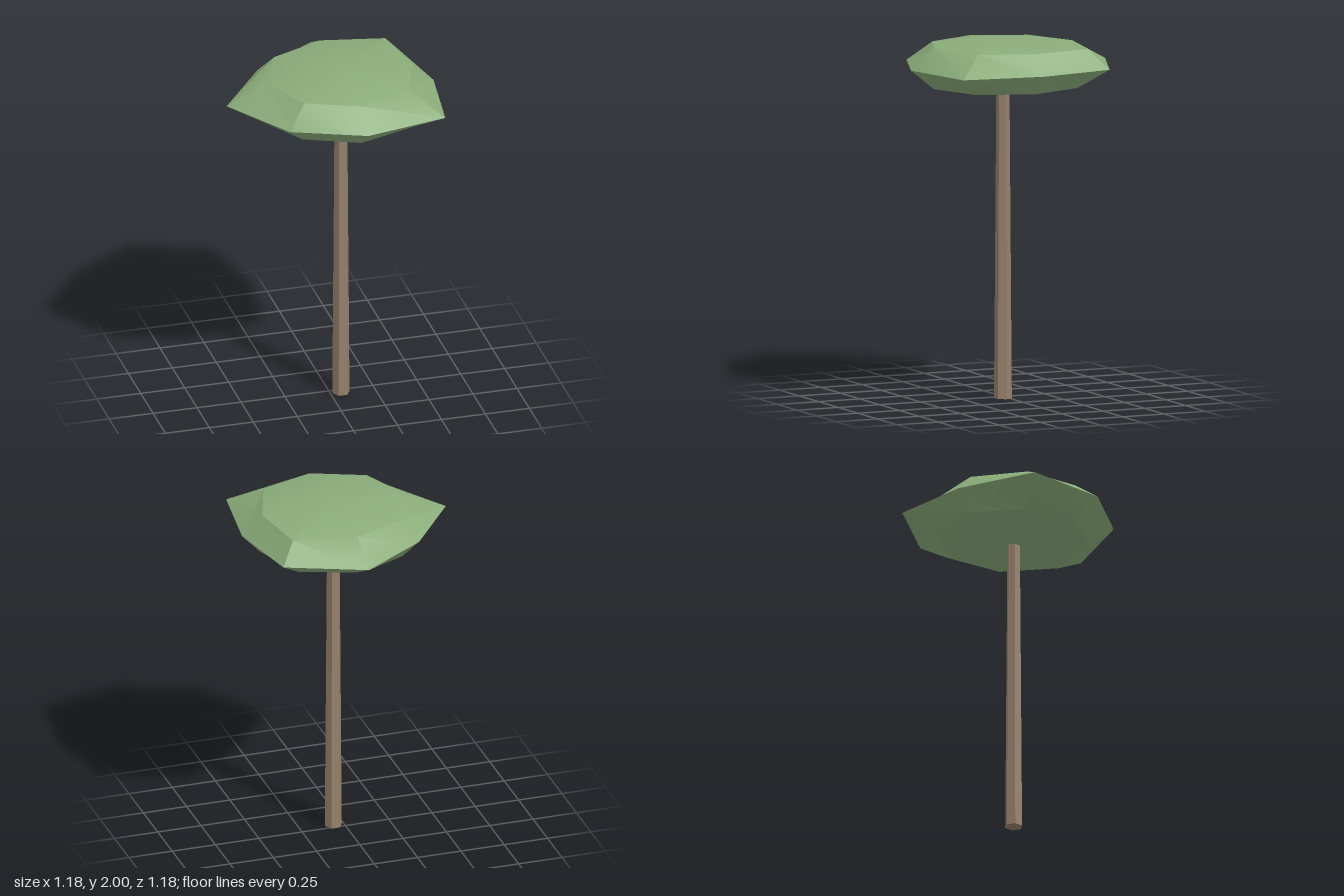
import * as THREE from 'three';
import { toCreasedNormals } from 'three/addons/utils/BufferGeometryUtils.js';

const CENTRE = [0.06, 0.03];

// Crown outlines (x, z), starting at -x and turning through +z
const UPPER = [[-0.36, 0.03], [-0.23, 0.32], [0.06, 0.44], [0.365, 0.325],
  [0.47, 0.03], [0.41, -0.32], [0.06, -0.39], [-0.235, -0.265]];
const RIM = [[-0.59, 0.03], [-0.34, 0.425], [0.06, 0.587], [0.525, 0.49],
  [0.587, 0.03], [0.495, -0.41], [0.06, -0.59], [-0.31, -0.345]];
const LOWER = [[-0.35, 0.03], [-0.24, 0.32], [0.06, 0.45], [0.38, 0.34],
  [0.485, 0.03], [0.36, -0.28], [0.06, -0.385], [-0.24, -0.27]];

// Low sphere whose three middle rings are pulled to uneven outlines
function crownGeometry() {
  const geo = new THREE.SphereGeometry(0.155, 8, 4);
  const pos = geo.attributes.position;
  const rings = [null, UPPER, RIM, LOWER, null];
  for (let i = 0; i < pos.count; i++) {
    const ring = rings[Math.floor(i / 9)];
    const [x, z] = ring ? ring[(i % 9) % 8] : CENTRE;
    pos.setXYZ(i, x, pos.getY(i) + 1.845, z);
  }
  geo.deleteAttribute('uv');
  return toCreasedNormals(geo, 0.45);
}

export function createModel() {
  const bark = new THREE.MeshStandardMaterial({ color: 0x96806c });
  bark.name = 'bark brown';
  bark.flatShading = true;
  const leaf = new THREE.MeshStandardMaterial({ color: 0x8aac7a });
  leaf.name = 'leaf green';

  const model = new THREE.Group();
  model.name = 'tree';

  // Slim six-sided trunk with corners on the x axis
  const trunk = new THREE.Mesh(new THREE.CylinderGeometry(0.036, 0.049, 1.75, 6), bark);
  trunk.name = 'trunk';
  trunk.rotation.y = Math.PI / 2;
  trunk.position.set(CENTRE[0], 0.875, CENTRE[1]);
  model.add(trunk);

  // Flat, irregular crown
  const crown = new THREE.Mesh(crownGeometry(), leaf);
  crown.name = 'crown';
  model.add(crown);

  return model;
}
